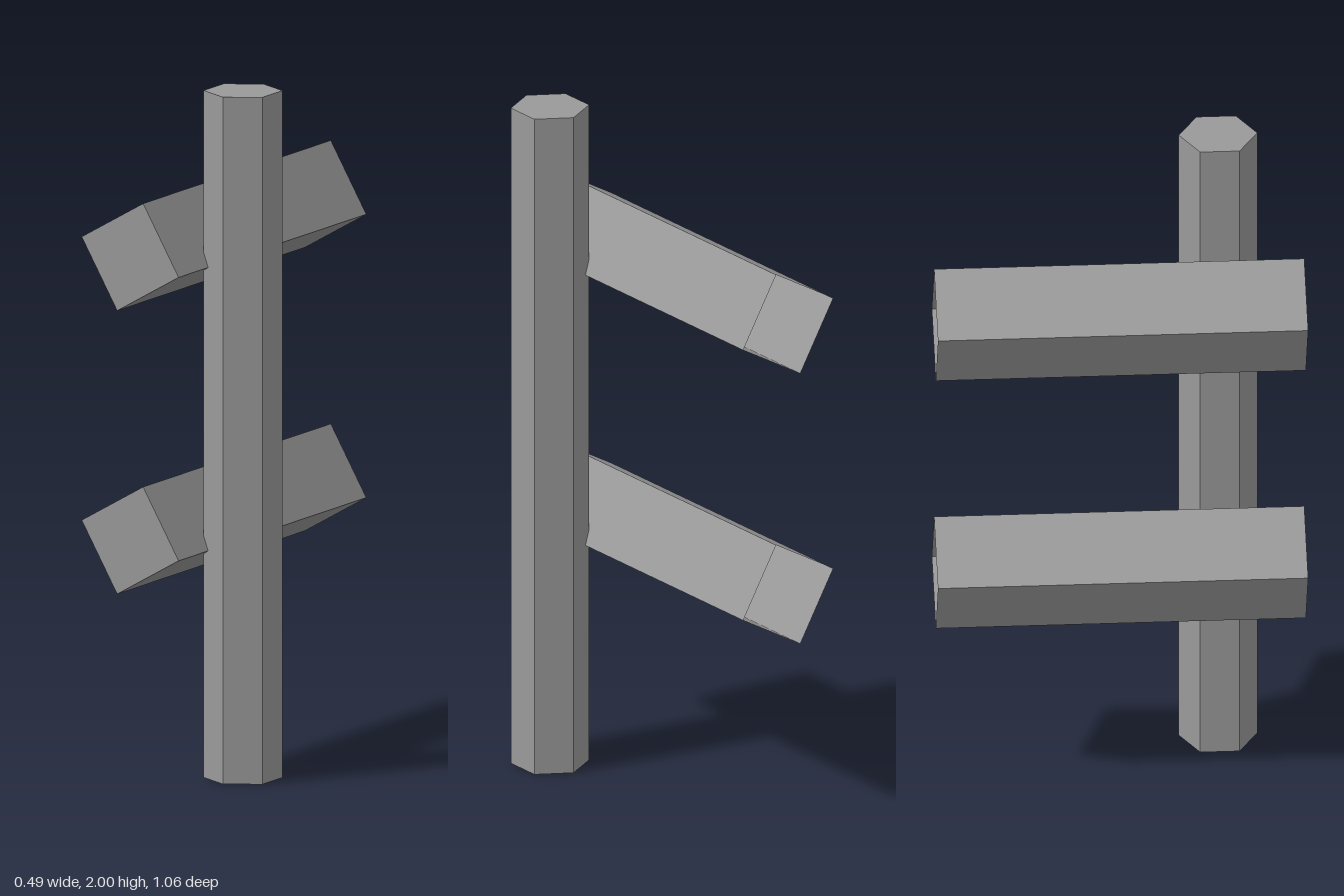
import * as THREE from 'three';

const material = new THREE.MeshStandardMaterial({
  color: 0x9a9a9a, flatShading: true, side: THREE.DoubleSide,
});

// Upright prism, capped at the top and open at the bottom
function cappedPrism(sides, radius, length) {
  const geometry = new THREE.CylinderGeometry(radius, radius, length, sides);
  const bottomCap = geometry.groups[2];
  geometry.setIndex(Array.from(geometry.index.array.slice(0, bottomCap.start)));
  geometry.clearGroups();
  return geometry;
}

export function createModel() {
  const model = new THREE.Group();
  model.name = 'postWithBeams';

  // Hexagonal post
  const post = new THREE.Mesh(cappedPrism(6, 0.1125, 2), material);
  post.name = 'post';
  post.position.set(0.149, 1, 0.293);
  model.add(post);

  // Two tilted square beams, closed at the front and open at the back
  const beamGeometry = cappedPrism(4, 0.166, 1.058)
    .rotateX(Math.PI / 2)
    .rotateZ(-Math.PI / 12);
  for (const [name, y] of [['lowerBeam', 0.707], ['upperBeam', 1.532]]) {
    const beam = new THREE.Mesh(beamGeometry, material);
    beam.name = name;
    beam.position.set(-0.086, y, 0);
    model.add(beam);
  }

  return model;
}
